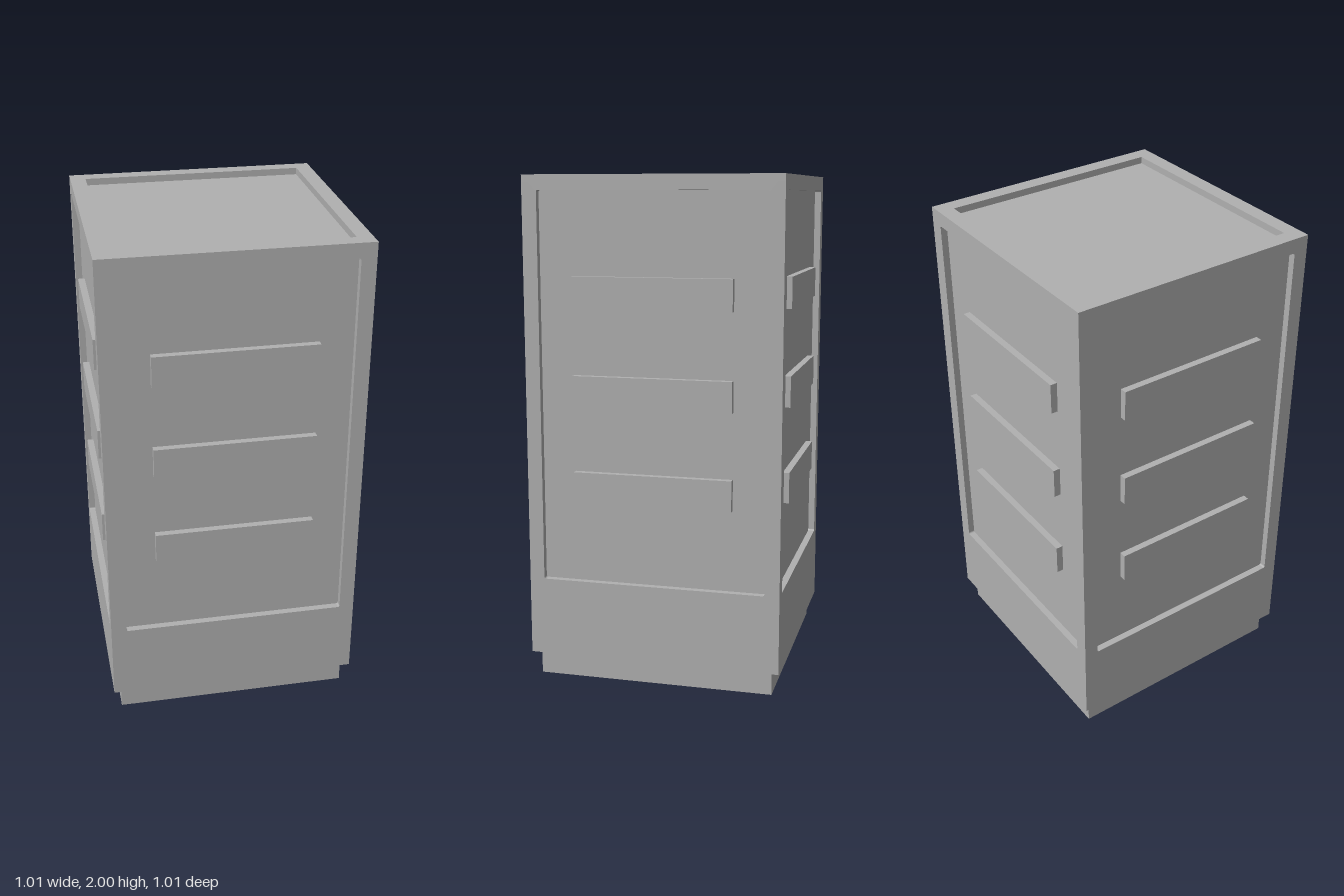
import * as THREE from 'three';

const HALF = 0.506;    // outer half width
const DEPTH = 0.027;   // depth of every recess
const CORE = HALF - DEPTH;
const BASE = 0.098;    // underside of the body
const TOP = 2;

// Rectangle path with slightly rounded corners
function roundedRect(path, x0, y0, x1, y1, r) {
  path.moveTo(x0 + r, y0);
  path.lineTo(x1 - r, y0);
  path.absarc(x1 - r, y0 + r, r, -Math.PI / 2, 0);
  path.lineTo(x1, y1 - r);
  path.absarc(x1 - r, y1 - r, r, 0, Math.PI / 2);
  path.lineTo(x0 + r, y1);
  path.absarc(x0 + r, y1 - r, r, Math.PI / 2, Math.PI);
  path.lineTo(x0, y0 + r);
  path.absarc(x0 + r, y0 + r, r, Math.PI, Math.PI * 1.5);
  return path;
}

// Flat frame: a rectangular plate with an opening
function frameGeometry(halfWidth, y0, y1, opening) {
  const shape = new THREE.Shape([
    new THREE.Vector2(-halfWidth, y0), new THREE.Vector2(halfWidth, y0),
    new THREE.Vector2(halfWidth, y1), new THREE.Vector2(-halfWidth, y1),
  ]);
  shape.holes.push(opening);
  return new THREE.ExtrudeGeometry(shape, { depth: DEPTH, bevelEnabled: false, curveSegments: 4 });
}

export function createModel() {
  const model = new THREE.Group();
  model.name = 'cabinet';
  const grey = new THREE.MeshStandardMaterial({ color: 0xb0b0b0 });
  grey.name = 'grey';

  const add = (parent, name, geometry, x, y, z) => {
    const mesh = new THREE.Mesh(geometry, grey);
    mesh.name = name;
    mesh.position.set(x, y, z);
    parent.add(mesh);
    return mesh;
  };

  // Plinth and inner body, whose faces are the recessed panels
  add(model, 'plinth', new THREE.BoxGeometry(0.95, BASE, 0.95), 0, BASE / 2, 0);
  const coreHeight = TOP - DEPTH - BASE;
  add(model, 'body', new THREE.BoxGeometry(2 * CORE, coreHeight, 2 * CORE), 0, BASE + coreHeight / 2, 0);

  // Four sides: a frame around the panel and three raised bars
  ['front', 'left', 'back', 'right'].forEach((name, i) => {
    const side = new THREE.Group();
    side.name = name + 'Side';
    side.rotation.y = i * Math.PI / 2;
    const opening = roundedRect(new THREE.Path(), -0.447, 0.411, 0.447, 1.942, 0.008);
    const halfWidth = i % 2 ? CORE : HALF;
    add(side, name + 'Frame', frameGeometry(halfWidth, BASE, TOP - DEPTH, opening), 0, 0, CORE);
    for (const y of [0.795, 1.176, 1.558]) {
      add(side, name + 'Bar', new THREE.BoxGeometry(0.63, 0.122, DEPTH), 0, y, CORE + DEPTH / 2);
    }
    model.add(side);
  });

  // Raised rim around the top
  const opening = roundedRect(new THREE.Path(), -0.444, -0.444, 0.444, 0.444, 0.001);
  const rim = add(model, 'topRim', frameGeometry(HALF, -HALF, HALF, opening), 0, TOP - DEPTH, 0);
  rim.rotation.x = -Math.PI / 2;

  return model;
}
